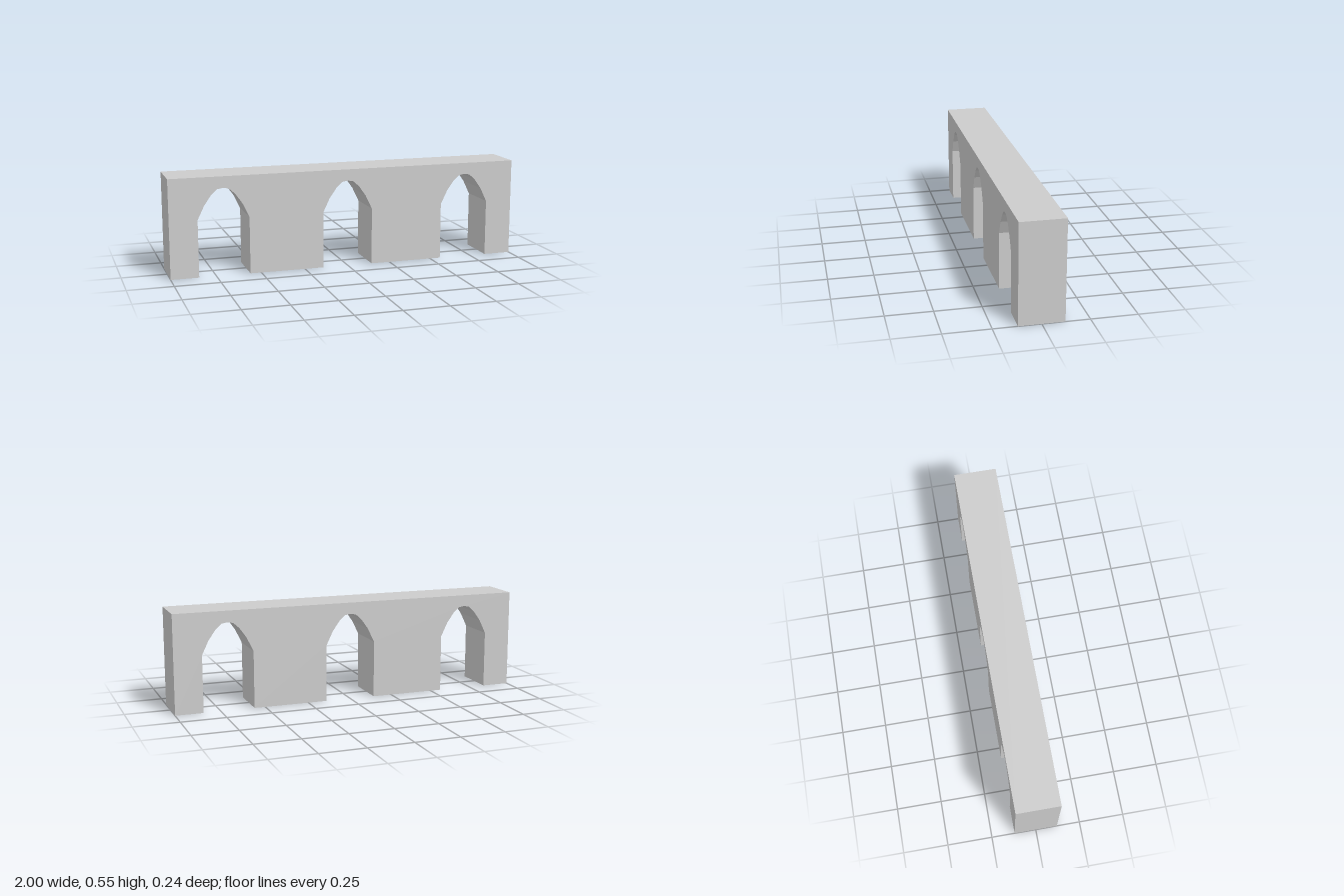
import * as THREE from 'three';

export function createModel() {
  const group = new THREE.Group();
  const material = new THREE.MeshStandardMaterial({ color: 0xcccccc, flatShading: true });
  const height = 0.55, depth = 0.242;

  // Right half of one opening, from the ground up to just before the crown
  const half = [[0.142, 0], [0.142, 0.318], [0.105, 0.395], [0.066, 0.45], [0.032, 0.481]];
  const crown = [0, 0.487];
  const opening = [
    ...half.map(([x, y]) => [-x, y]),
    crown,
    ...half.slice().reverse(),
  ];

  // Wall outline: along the ground through each arch, then back over the top
  const outline = [[-1, 0]];
  for (const cx of [-0.703, 0, 0.703]) {
    for (const [x, y] of opening) outline.push([cx + x, y]);
  }
  outline.push([1, 0], [1, height], [-1, height]);

  const shape = new THREE.Shape(outline.map(([x, y]) => new THREE.Vector2(x, y)));
  const geometry = new THREE.ExtrudeGeometry(shape, { depth, bevelEnabled: false });
  geometry.translate(0, 0, -depth / 2);

  const wall = new THREE.Mesh(geometry, material);
  wall.name = 'archedWall';
  group.add(wall);
  return group;
}
